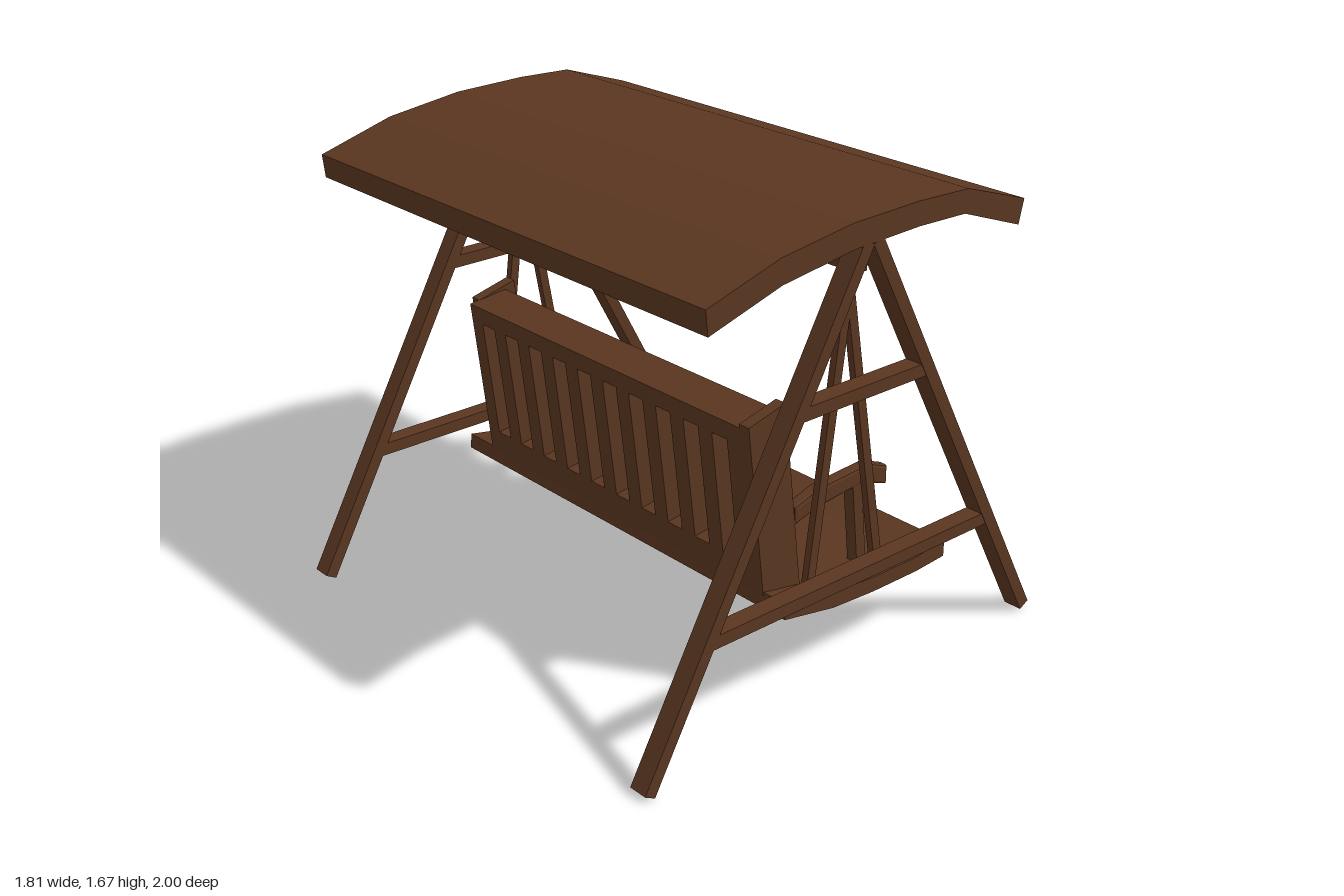
import * as THREE from 'three';

const wood = new THREE.MeshStandardMaterial({ color: 0x5a3620, flatShading: true });
const metal = new THREE.MeshStandardMaterial({ color: 0x50545c });

export function createModel() {
  const model = new THREE.Group();

  function add(name, geometry, material = wood, parent = model) {
    const mesh = new THREE.Mesh(geometry, material);
    mesh.name = name;
    parent.add(mesh);
    return mesh;
  }

  // Side profile in x/y, extruded from z0 to z1
  function profile(name, points, z0, z1, bevel = 0) {
    const shape = new THREE.Shape(points.map(([x, y]) => new THREE.Vector2(x, y)));
    const geometry = new THREE.ExtrudeGeometry(shape, {
      depth: z1 - z0 - 2 * bevel, bevelEnabled: bevel > 0, bevelThickness: bevel,
      bevelSize: bevel, bevelOffset: -bevel, bevelSegments: 2,
    });
    geometry.translate(0, 0, z0 + bevel);
    return add(name, geometry);
  }

  // Square-ended bar between two points in the x/y plane
  function bar(name, [x0, y0], [x1, y1], width, depth, z) {
    const mesh = add(name, new THREE.BoxGeometry(width, Math.hypot(x1 - x0, y1 - y0), depth));
    mesh.position.set((x0 + x1) / 2, (y0 + y1) / 2, z);
    mesh.rotation.z = -Math.atan2(x1 - x0, y1 - y0);
    return mesh;
  }

  // Curved canopy
  profile('canopy', [
    [-0.67, 1.455], [-0.38, 1.54], [-0.08, 1.58], [0.2, 1.59], [0.41, 1.585], [0.68, 1.49],
    [0.70, 1.575], [0.42, 1.665], [0.2, 1.672], [-0.09, 1.665], [-0.39, 1.625], [-0.68, 1.54],
  ], -1, 1);

  // Ridge beam
  bar('ridgeBeam', [-0.007, 1.48], [-0.007, 1.6], 0.046, 1.79, 0.065);

  // A-shaped end frames
  for (const z of [0.965, -0.835]) {
    for (const s of [-1, 1]) bar('frameLeg', [s * 0.885, 0.011], [s * 0.018, 1.588], 0.045, 0.07, z);
    bar('upperCrossbar', [-0.285, 1.097], [0.285, 1.097], 0.045, 0.066, z);
    bar('lowerCrossbar', [-0.635, 0.447], [0.635, 0.447], 0.045, 0.066, z);
  }

  // Hanging rods and chains
  for (const z of [0.885, -0.766]) {
    bar('rearHangerRod', [0.01, 1.4], [-0.125, 0.33], 0.035, 0.026, z);
    bar('frontHangerRod', [0.016, 1.4], [0.218, 0.32], 0.035, 0.026, z);
    for (let i = 0; i < 5; i++) {
      const link = add('chainLink', new THREE.TorusGeometry(0.011, 0.003, 6, 12), metal);
      link.scale.y = 1.5;
      link.position.set(0.018, 1.375 + i * 0.026, z + (z > 0 ? 0.012 : -0.008));
      link.rotation.y = (i % 2) * Math.PI / 2;
    }
  }

  // Curved bench seat
  profile('seat', [
    [-0.245, 0.345], [-0.02, 0.305], [0.17, 0.295], [0.38, 0.295], [0.52, 0.305],
    [0.52, 0.365], [0.37, 0.35], [0.18, 0.35], [-0.01, 0.36], [-0.24, 0.40],
  ], -0.79, 0.915);

  // Slotted backrest, leaning back
  const rect = (C, x0, x1, y0, y1) => new C([[x0, y0], [x1, y0], [x1, y1], [x0, y1]]
    .map(([x, y]) => new THREE.Vector2(x, y)));
  const panel = rect(THREE.Shape, -0.775, 0.65, 0, 0.62);
  for (let i = 0; i < 10; i++) {
    const c = -0.667 + i * 0.1356;
    panel.holes.push(rect(THREE.Path, c - 0.035, c + 0.035, 0.108, 0.555));
  }
  const backrest = new THREE.Group();
  backrest.name = 'backrest';
  backrest.position.set(-0.24, 0.375, 0);
  backrest.rotation.z = 0.127;
  model.add(backrest);
  const panelGeometry = new THREE.ExtrudeGeometry(panel, { depth: 0.155, bevelEnabled: false });
  add('backPanel', panelGeometry.rotateY(Math.PI / 2), wood, backrest);

  // Backrest ends, armrests and their supports
  for (const [z, shift, drop] of [[0.79, 0, 0], [-0.668, 0.042, 0.01]]) {
    profile('backrestEnd', [
      [-0.24 + shift, 0.375], [-0.075 + shift, 0.36],
      [-0.165 + shift, 1.045 - drop], [-0.322 + shift, 1.005 - drop],
    ], z - 0.022, z + 0.022);
    profile('armrest', [
      [-0.11, 0.595], [0, 0.625], [0.2, 0.645], [0.325, 0.605],
      [0.325, 0.675], [0.235, 0.71], [0, 0.695], [-0.11, 0.66],
    ], z - 0.024, z + 0.024, 0.012);
    bar('armSupport', [0.18, 0.66], [0.218, 0.34], 0.042, 0.044, z);
  }

  return model;
}
